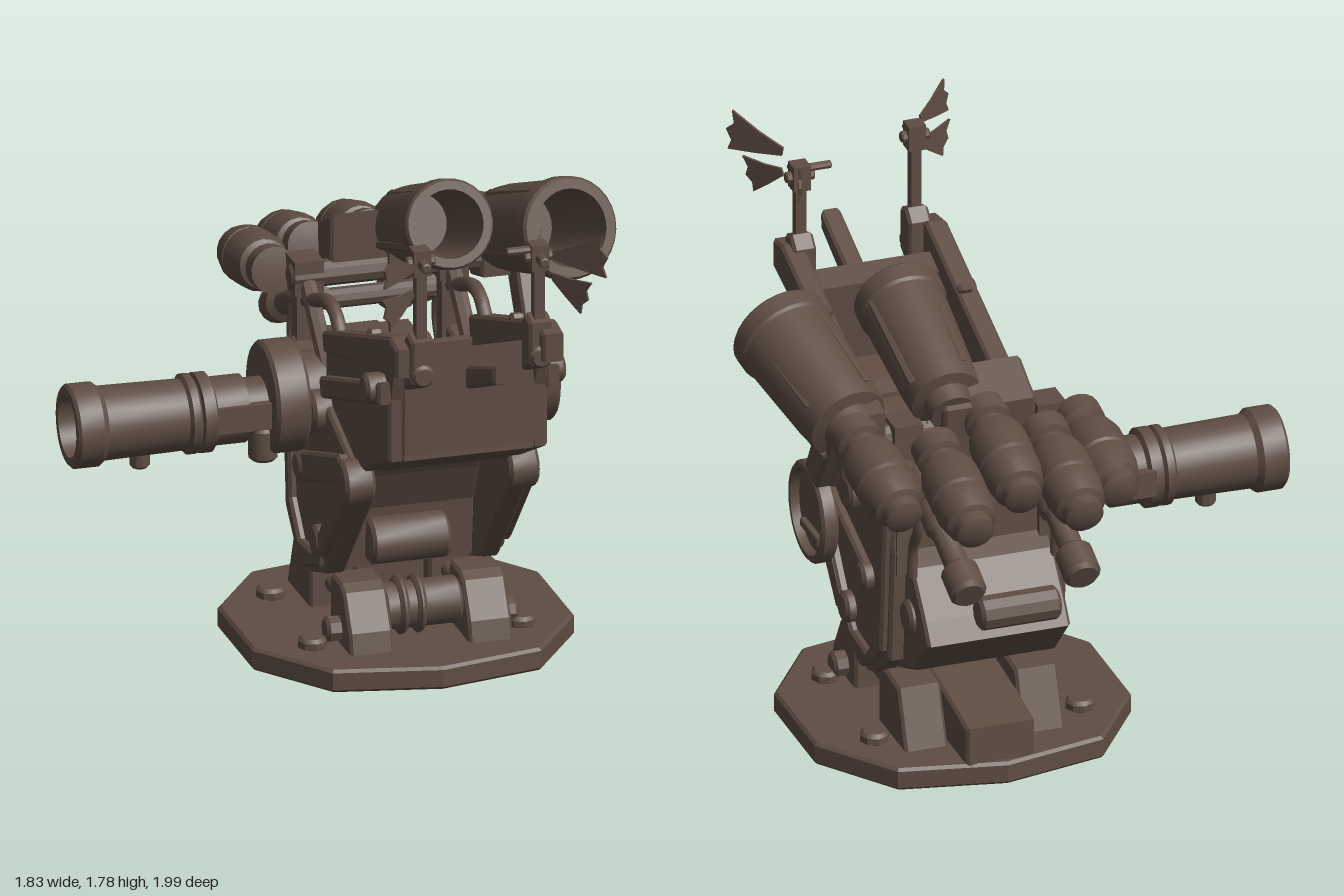
import * as THREE from 'three';
import { toCreasedNormals } from 'three/addons/utils/BufferGeometryUtils.js';

const paint = new THREE.MeshStandardMaterial({ color: 0x5f4d43 });
paint.name = 'brown paint';

const MID = 0.21; // mirror plane of the mount
const V = (a) => new THREE.Vector3(...a);

export function createModel() {
  const root = new THREE.Group();
  root.name = 'sightingMount';

  const add = (name, geo) => {
    const m = new THREE.Mesh(geo, paint);
    m.name = name;
    root.add(m);
    return m;
  };
  const box = (name, x0, x1, y0, y1, z0, z1) =>
    add(name, new THREE.BoxGeometry(x1 - x0, y1 - y0, z1 - z0))
      .position.set((x0 + x1) / 2, (y0 + y1) / 2, (z0 + z1) / 2);
  const bevelled = (pts, thickness, bevel) =>
    new THREE.ExtrudeGeometry(new THREE.Shape(pts.map((p) => new THREE.Vector2(...p))), {
      depth: thickness - 2 * bevel, bevelEnabled: true, bevelThickness: bevel,
      bevelSize: bevel, bevelOffset: -bevel, bevelSegments: 1 });
  // side profile of [z, y] points, extruded from x0 to x1
  const slab = (name, pts, x0, x1, bevel = 0.01) =>
    add(name, bevelled(pts, x1 - x0, bevel).rotateY(-Math.PI / 2).translate(x1 - bevel, 0, 0));
  // the same profile on both sides, u measured from the mirror plane
  const slabPair = (name, pts, u0, u1) => {
    slab(name + 'Left', pts, MID + u0, MID + u1);
    slab(name + 'Right', pts, MID - u1, MID - u0);
  };
  // turned part: [radius, distance] profile running from a toward b
  const turned = (name, a, b, profile, segs = 24) => {
    const geo = toCreasedNormals(
      new THREE.LatheGeometry(profile.map((p) => new THREE.Vector2(...p)), segs), 0.6);
    const m = add(name, geo);
    m.position.copy(V(a));
    m.quaternion.setFromUnitVectors(new THREE.Vector3(0, 1, 0), V(b).sub(V(a)).normalize());
    return m;
  };
  const rod = (name, a, b, r, segs = 14) => {
    const l = V(a).distanceTo(V(b)), c = Math.min(0.012, r / 4);
    return turned(name, a, b, [[0, 0], [r - c, 0], [r, c], [r, l - c], [r - c, l], [0, l]], segs);
  };
  const pipe = (name, pts, r) =>
    add(name, new THREE.TubeGeometry(new THREE.CatmullRomCurve3(pts.map(V)), 20, r, 8));

  // Ten-sided base plate
  const rim = [[0.555, -0.2], [0.555, 0.2], [0.36, 0.475], [0, 0.55], [-0.36, 0.475],
    [-0.555, 0.2], [-0.555, -0.2], [-0.36, -0.475], [0, -0.55], [0.36, -0.475]];
  add('basePlate', bevelled(rim, 0.08, 0.01).rotateX(-Math.PI / 2)).position.set(0.195, 0.01, -0.13);
  for (const sx of [-1, 1]) for (const sz of [-1, 1]) {
    const x = 0.195 + sx * 0.36, z = -0.13 + sz * 0.24;
    rod('baseBolt', [x, 0.07, z], [x, 0.115, z], 0.05, 8);
  }

  // Feet, tie bars and hinge on the base
  slabPair('frontFoot', [[0.24, 0.07], [0.22, 0.15], [0.15, 0.27], [0.11, 0.29], [0, 0.29], [0, 0.07]], 0.13, 0.28);
  slabPair('rearFoot', [[-0.23, 0.07], [-0.23, 0.28], [-0.3, 0.29], [-0.42, 0.28], [-0.5, 0.07]], 0.13, 0.28);
  slab('rearBlock', [[-0.25, 0.07], [-0.25, 0.26], [-0.46, 0.24], [-0.65, 0.21], [-0.65, 0.07]], MID - 0.12, MID + 0.12);
  for (const s of [-1, 1]) {
    rod('tieBar', [MID + s * 0.2, 0.16, 0.02], [MID + s * 0.2, 0.16, -0.26], 0.03);
    rod('footBolt', [MID + s * 0.27, 0.13, 0.1], [MID + s * 0.33, 0.13, 0.1], 0.045, 8);
  }
  rod('hingeRoller', [0.07, 0.19, 0.1], [0.34, 0.19, 0.1], 0.08);
  for (const x of [0.12, 0.18]) rod('hingeCollar', [x, 0.19, 0.1], [x + 0.03, 0.19, 0.1], 0.1);

  // Yoke: side plates, recessed inner plate and rear housing
  slabPair('sidePlate', [[0.34, 0.66], [0.01, 0.29], [-0.17, 0.23], [-0.25, 0.26], [-0.39, 0.37], [-0.42, 0.78],
    [-0.4, 0.98], [-0.1, 0.92], [0.25, 0.8], [0.35, 0.76]], 0.23, 0.3);
  slab('innerPlate', [[0.14, 0.81], [0.02, 0.62], [-0.05, 0.48], [-0.07, 0.27], [-0.25, 0.27], [-0.4, 0.5], [-0.4, 0.9], [-0.1, 0.93]],
    MID - 0.235, MID + 0.235);
  slab('rearHousing', [[-0.3, 0.3], [-0.38, 0.33], [-0.5, 0.38], [-0.64, 0.53], [-0.59, 0.6], [-0.47, 0.74], [-0.35, 0.8]],
    MID - 0.25, MID + 0.25);
  slabPair('sideRib', [[0.02, 0.42], [-0.01, 0.31], [-0.17, 0.25], [-0.27, 0.3], [-0.37, 0.4], [-0.41, 0.9],
    [-0.36, 0.9], [-0.32, 0.44], [-0.22, 0.33], [-0.08, 0.34]], 0.28, 0.325);
  slabPair('sideStrap', [[0.33, 0.75], [0.24, 0.8], [-0.2, 0.65], [-0.22, 0.58], [-0.15, 0.56], [0.22, 0.7], [0.0, 0.42], [0.05, 0.36],
    [0.34, 0.68]], 0.28, 0.33);
  rod('innerRoller', [0.07, 0.37, -0.04], [0.34, 0.37, -0.04], 0.08);
  for (const s of [-1, 1]) {
    const bolts = [[0.29, 0.72, 0.08, 0.335], [-0.02, 0.4, 0.055, 0.335], [-0.2, 0.6, 0.05, 0.34],
      [-0.46, 0.56, 0.06, 0.27], [0.59, 1.17, 0.05, 0.345], [-0.05, 0.85, 0.07, 0.34]];
    for (const [z, y, r, u] of bolts)
      rod('pivotBolt', [MID + s * 0.23, y, z], [MID + s * u, y, z], r, 14);
  }

  // Open tilted trough with rails and a front tongue
  slabPair('troughWall', [[0.72, 1.37], [0.65, 1.14], [0.65, 0.92], [0.36, 0.78], [0, 0.8], [-0.07, 0.92], [-0.07, 1.11]], 0.22, 0.275);
  slab('troughFloor', [[0.65, 1.0], [0.655, 0.92], [0.36, 0.775], [0, 0.79], [-0.2, 0.86], [-0.07, 0.89]],
    MID - 0.23, MID + 0.23);
  slab('troughFrontWall', [[0.66, 1.3], [0.66, 0.94], [0.59, 0.94], [0.57, 1.27]], MID - 0.23, MID + 0.23);
  slab('troughRearLip', [[-0.07, 1.05], [-0.07, 0.86], [-0.03, 0.86], [-0.03, 1.05]], MID - 0.23, MID + 0.23);
  slabPair('sideRail', [[0.66, 1.21], [0.66, 1.13], [0.0, 0.91], [-0.02, 0.98]], 0.265, 0.315);
  slabPair('topRail', [[0.79, 1.37], [0.79, 1.27], [0.6, 1.22], [-0.05, 1.05], [-0.07, 1.12], [0.7, 1.385]], 0.215, 0.29);
  slab('tongue', [[0.97, 1.35], [0.97, 1.285], [0.6, 1.13], [0.6, 1.215]], 0.2, 0.268);
  slabPair('railTab', [[0.41, 1.3], [0.37, 1.29], [0.42, 1.2], [0.46, 1.22]], 0.22, 0.27);
  for (const z of [0.41, 0.36])
    slab('floorBar', [[z + 0.015, 0.98], [z + 0.015, 0.88], [z - 0.015, 0.87], [z - 0.015, 0.97]], MID - 0.22, MID + 0.22);
  slab('troughLatch', [[0.18, 1.04], [0.18, 0.88], [-0.04, 0.86], [-0.04, 1.06]], 0.06, 0.22);
  box('rearMechanism', 0.02, 0.3, 0.86, 1.02, -0.34, -0.06);

  // Two masts with fish-tail blades
  const blade = (a, b, w) => {
    const A = V(a), d = V(b).sub(A), l = d.length(), up = new THREE.Vector3(0, 1, 0);
    up.addScaledVector(d, -d.y / d.lengthSq()).normalize();
    const shape = new THREE.Shape([[0, -0.2], [0, 0.2], [0.45, 0.5], [0.95, 1], [0.88, 0.4], [1, 0], [0.88, -0.45], [0.92, -0.95], [0.45, -0.6]]
      .map(([p, q]) => new THREE.Vector2(p * l, q * w)));
    const geo = new THREE.ExtrudeGeometry(shape, { depth: 0.009, bevelEnabled: false }).translate(0, 0, -0.0045);
    const dir = d.normalize();
    add('blade', geo).applyMatrix4(new THREE.Matrix4().makeBasis(dir, up, dir.clone().cross(up)).setPosition(A));
  };
  for (const [x, z, top] of [[0.005, 0.78, 1.72], [0.43, 0.72, 1.67]]) {
    slab('mastFoot', [[z + 0.035, 1.4], [z + 0.035, 1.25], [z - 0.06, 1.2], [z - 0.06, 1.38], [z - 0.02, 1.42]], x - 0.04, x + 0.04);
    rod('mastFootBolt', [x, 1.28, z + 0.02], [x, 1.28, z + 0.05], 0.04, 10);
    box('mast', x - 0.018, x + 0.018, 1.35, top - 0.03, z - 0.018, z + 0.018);
    box('mastHead', x - 0.03, x + 0.03, top - 0.09, top, z - 0.03, z + 0.03);
    rod('mastAxle', [x - 0.05, top - 0.045, z], [x + 0.05, top - 0.045, z], 0.02, 8);
    rod('mastHub', [x, top - 0.045, z], [x, top - 0.045, z + 0.08], 0.018, 8);
  }
  rod('mastPointer', [0.43, 1.65, 0.72], [0.32, 1.65, 0.72], 0.014, 8);
  blade([-0.045, 1.685, 0.865], [-0.17, 1.72, 0.95], 0.065);
  blade([-0.045, 1.6, 0.865], [-0.17, 1.555, 0.95], 0.065);
  blade([0.45, 1.665, 0.83], [0.59, 1.7, 0.99], 0.075);
  blade([0.45, 1.59, 0.83], [0.535, 1.54, 0.95], 0.065);
  blade([0.44, 1.635, 0.69], [0.47, 1.64, 0.6], 0.065);

  // Horizontal side tube with its large mounting disc
  turned('sideTube', [-0.12, 0.83, -0.19], [-1, 0.83, -0.19], [[0, 0], [0.1, 0], [0.1, 0.2], [0.115, 0.2], [0.115, 0.31],
    [0.135, 0.32], [0.135, 0.36], [0.12, 0.365], [0.135, 0.375], [0.135, 0.4], [0.12, 0.41], [0.125, 0.69], [0.142, 0.71],
    [0.142, 0.79], [0.132, 0.8], [0.105, 0.8], [0.1, 0.6], [0, 0.6]], 28);
  rod('sideDisc', [-0.25, 0.86, -0.19], [-0.13, 0.86, -0.19], 0.19, 28);
  rod('sideDiscHub', [-0.15, 0.86, -0.19], [-0.03, 0.86, -0.19], 0.14, 20);
  rod('tubeKnob', [-0.67, 0.66, -0.19], [-0.67, 0.74, -0.19], 0.034, 10);
  rod('tubeKnob', [-0.26, 0.66, -0.14], [-0.26, 0.78, -0.14], 0.05, 12);
  box('tubeClamp', -0.45, -0.25, 0.79, 0.88, -0.33, -0.07);

  // Two big viewing barrels, tilted and open at the front
  const barrel = (name, rear, front, r) => {
    const l = V(rear).distanceTo(V(front));
    turned(name, rear, front, [[0, -0.06], [r * 0.5, -0.06], [r * 0.55, 0], [r * 0.8, 0.01], [r * 0.86, 0.1], [r * 0.95, l - 0.08],
      [r, l - 0.07], [r, l - 0.01], [r * 0.95, l], [r * 0.76, l], [r * 0.68, l - 0.38], [0, l - 0.38]], 28);
    const a = V(rear), b = V(front), d = b.clone().sub(a).normalize();
    for (let i = 0; i < 4; i++) {
      const t = i * Math.PI / 2 + 0.5, o = new THREE.Vector3(Math.cos(t), Math.sin(t), 0).multiplyScalar(r * 0.86);
      rod('barrelRib', a.clone().addScaledVector(d, 0.03).addScaledVector(o, 0.95).toArray(),
        b.clone().addScaledVector(d, -0.06).addScaledVector(o, 1.04).toArray(), 0.018, 6);
    }
  };
  barrel('innerBarrel', [0.32, 1.32, -0.43], [0.33, 1.495, 0.045], 0.152);
  barrel('outerBarrel', [0.655, 1.278, -0.41], [0.745, 1.437, 0.05], 0.172);

  // Eyepieces behind the barrels: rear end and rise toward the front
  const eyepiece = [[0, 0], [0.04, 0], [0.065, 0.012], [0.065, 0.05], [0.085, 0.06], [0.1, 0.13], [0.098, 0.165], [0.088, 0.17],
    [0.1, 0.18], [0.1, 0.28], [0.085, 0.33], [0.058, 0.34], [0.058, 0.37], [0.08, 0.38], [0.08, 0.45], [0, 0.46]];
  for (const [x, y, z, rise] of [[-0.13, 1.12, -0.88, 0.08], [0.03, 1.1, -0.985, 0.13], [0.21, 1.15, -0.89, 0.14],
    [0.41, 1.1, -0.98, 0.13], [0.62, 1.14, -0.87, 0.14]])
    turned('eyepiece', [x, y, z], [x + (x > 0.6 ? 0.04 : 0), y + rise, z + 0.43], eyepiece, 18);
  for (const x of [0.03, 0.43])
    turned('lowerEyepiece', [x, 0.87, -0.96], [x, 1.06, -0.52], [[0, 0], [0.05, 0], [0.064, 0.015], [0.064, 0.11], [0.042, 0.13],
      [0.042, 0.28], [0.055, 0.3], [0.055, 0.4], [0.04, 0.42], [0.04, 0.55], [0, 0.55]], 14);
  rod('handle', [0.09, 0.75, -0.87], [0.37, 0.75, -0.87], 0.058, 10);

  // Frame that carries the barrels and eyepieces
  slab('prismHousing', [[-0.36, 1.41], [-0.36, 1.2], [-0.5, 1.14], [-0.52, 1.33]], 0.04, 0.36);
  rod('crossBar', [-0.1, 1.2, -0.38], [0.66, 1.2, -0.38], 0.045, 10);
  rod('lowerCrossBar', [-0.02, 1.07, -0.47], [0.5, 1.07, -0.47], 0.035, 10);
  for (const s of [-1, 1]) {
    const x = MID + s * 0.25;
    box('rearPost', x - 0.035, x + 0.035, 0.7, 1.2, -0.425, -0.365);
    box('postCap', x - 0.05, x + 0.05, 1.14, 1.26, -0.45, -0.34);
    rod('brace', [x, 0.95, -0.12], [x, 1.2, -0.38], 0.03, 8);
    pipe('archedLink', [[x, 1.12, 0.04], [x, 1.19, -0.04], [x, 1.2, -0.12], [x, 1.12, -0.35], [x, 1.06, -0.55]], 0.025);
    pipe('cable', [[x, 1.05, -0.53], [x, 0.93, -0.54], [x, 0.83, -0.49], [x, 0.72, -0.48]], 0.018);
  }
  slab('prismClamp', [[-0.33, 1.38], [-0.33, 1.14], [-0.47, 1.1], [-0.48, 1.34]], 0.55, 0.7);

  // Dished ring and arm below the outer barrel
  turned('dishRing', [0.67, 0.86, -0.18], [1, 0.86, -0.18],
    [[0, 0], [0.165, 0], [0.175, 0.01], [0.175, 0.05], [0.165, 0.06], [0.148, 0.06], [0.142, 0.03], [0, 0.03]], 28);
  slab('ringArm', [[-0.17, 1.03], [-0.28, 0.99], [-0.44, 1.25], [-0.4, 1.32], [-0.3, 1.26]], 0.65, 0.73);
  slab('dishStep', [[-0.1, 0.8], [-0.1, 0.77], [-0.27, 0.77], [-0.27, 0.8]], 0.69, 0.72, 0.004);

  return root;
}
